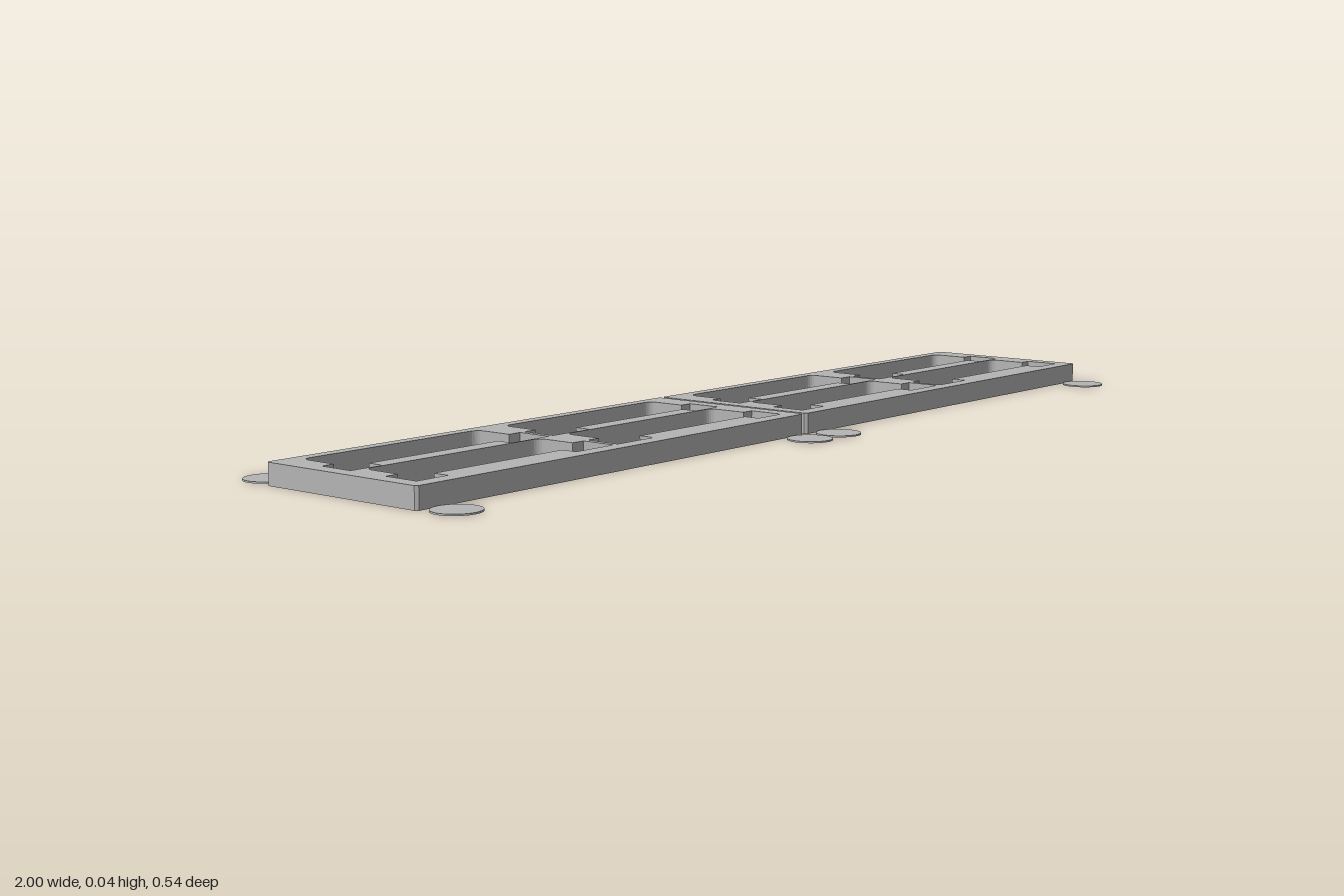
import * as THREE from 'three';

const HEIGHT = 0.04;
const HALF_W = 0.498, HALF_D = 0.18, CHAMFER = 0.005;
const ROWS = [{ back: -0.156, front: -0.006 }, { back: -0.002, front: 0.148 }];

// Opening with a wide lower bay and a narrower, round-cornered upper bay
function cellHole(side, { back, front }) {
  const inner = 0.006, outer = 0.468, blockIn = 0.034, blockOut = 0.442;
  const step = back + 0.08, r = 0.02;
  const p = new THREE.Path();
  const X = (x) => side * x;
  p.moveTo(X(inner), -front);
  p.lineTo(X(outer), -front);
  p.lineTo(X(outer), -step);
  p.lineTo(X(blockOut), -step);
  p.lineTo(X(blockOut), -back - r);
  p.quadraticCurveTo(X(blockOut), -back, X(blockOut - r), -back);
  p.lineTo(X(blockIn + r), -back);
  p.quadraticCurveTo(X(blockIn), -back, X(blockIn), -back - r);
  p.lineTo(X(blockIn), -step);
  p.lineTo(X(inner), -step);
  p.closePath();
  return p;
}

function frameGeometry() {
  const w = HALF_W, d = HALF_D, c = CHAMFER;
  const shape = new THREE.Shape([
    [-w + c, -d], [w - c, -d], [w, -d + c], [w, d - c],
    [w - c, d], [-w + c, d], [-w, d - c], [-w, -d + c],
  ].map(([x, y]) => new THREE.Vector2(x, y)));
  for (const row of ROWS) for (const side of [-1, 1]) shape.holes.push(cellHole(side, row));
  const g = new THREE.ExtrudeGeometry(shape, { depth: HEIGHT, bevelEnabled: false, curveSegments: 6 });
  return g.rotateX(-Math.PI / 2);
}

// Ledge with a flat top and a sloping underside
function ledgeGeometry() {
  const shape = new THREE.Shape([
    [0, 0], [0.032, 0.035], [0.032, HEIGHT], [0, HEIGHT],
  ].map(([x, y]) => new THREE.Vector2(x, y)));
  const g = new THREE.ExtrudeGeometry(shape, { depth: 0.3, bevelEnabled: false });
  return g.translate(0, 0, -0.15).rotateY(Math.PI / 2);
}

export function createModel() {
  const model = new THREE.Group();
  model.name = 'doubleFrame';
  const grey = new THREE.MeshStandardMaterial({ color: 0xb4b4b4 });
  grey.name = 'grey plastic';

  const frameGeo = frameGeometry();
  const ledgeGeo = ledgeGeometry();
  const discGeo = new THREE.CylinderGeometry(0.043, 0.043, 0.003, 40);

  const add = (parent, geo, name, x, y, z) => {
    const mesh = new THREE.Mesh(geo, grey);
    mesh.name = name;
    mesh.position.set(x, y, z);
    parent.add(mesh);
  };

  for (const half of [-1, 1]) {
    const unit = new THREE.Group();
    unit.name = half < 0 ? 'rightUnit' : 'leftUnit';
    unit.position.x = half * 0.502;
    model.add(unit);
    add(unit, frameGeo, 'frame', 0, 0, 0);
    for (const side of [-1, 1]) {
      for (const row of ROWS) add(unit, ledgeGeo, 'ledge', side * 0.25, 0, row.front);
      // Flat corner pads on the ground
      for (const end of [-1, 1]) add(unit, discGeo, 'cornerPad', side * 0.457, 0.0015, end * 0.226);
    }
  }
  return model;
}
